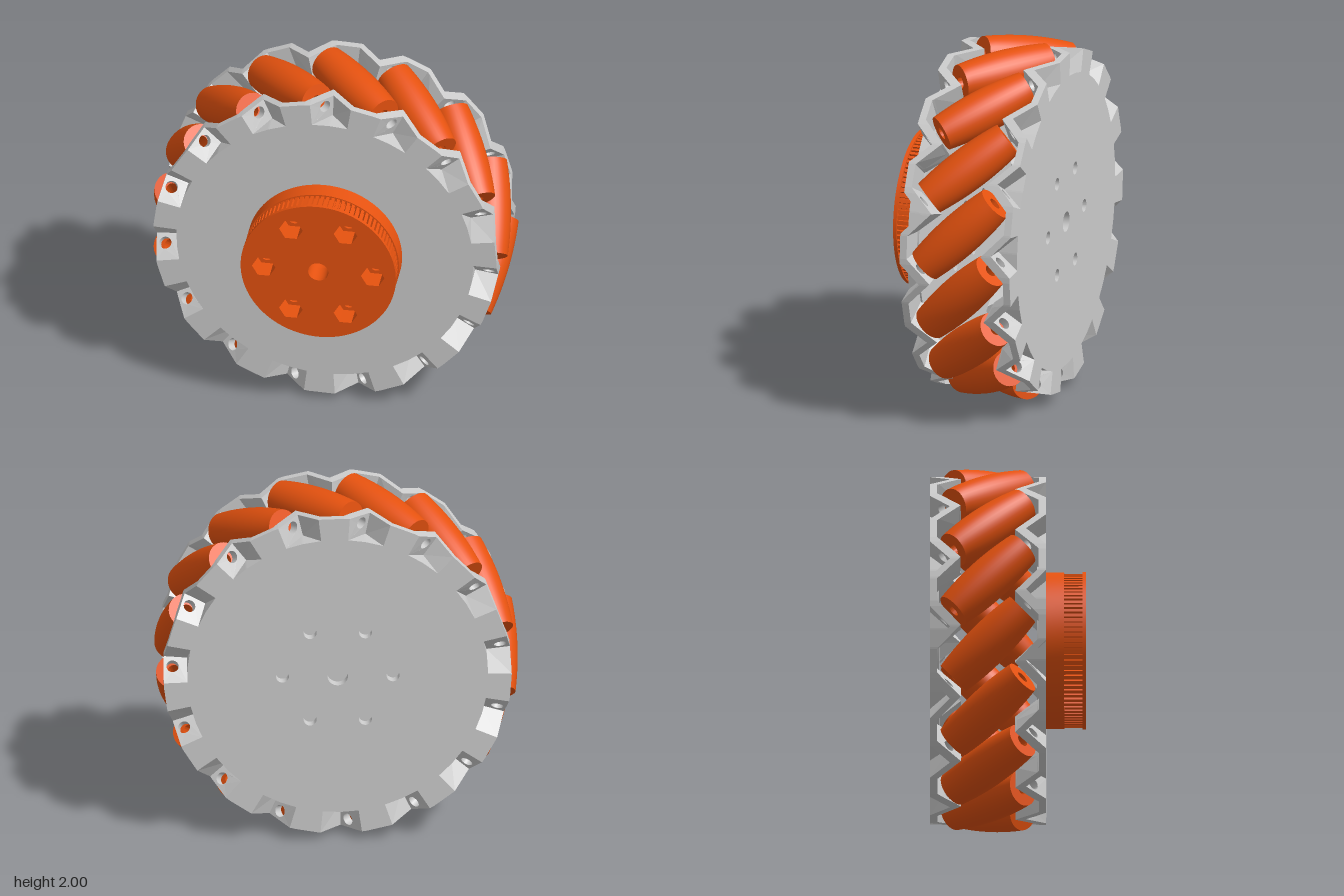
import * as THREE from 'three';
import { mergeGeometries, toCreasedNormals } from 'three/addons/utils/BufferGeometryUtils.js';

const COUNT = 15;             // rollers
const STEP = (Math.PI * 2) / COUNT;
const RIM_R = 0.92;           // radius at which rim arc lengths are measured
const MID_Z = -0.11;          // middle plane of the wheel

const grey = new THREE.MeshStandardMaterial({ color: 0xcccccc });
const orange = new THREE.MeshStandardMaterial({ color: 0xe6520f });

function part(name, geometry, material) {
  const mesh = new THREE.Mesh(geometry, material);
  mesh.name = name;
  return mesh;
}

// Piecewise linear zigzag through [t, z] points
function zigzag(points) {
  return (t) => {
    if (t <= points[0][0]) return points[0][1];
    for (let i = 1; i < points.length; i++) {
      const [t0, z0] = points[i - 1], [t1, z1] = points[i];
      if (t <= t1) return z0 + ((z1 - z0) * (t - t0)) / (t1 - t0);
    }
    return points[points.length - 1][1];
  };
}

const FACE = 0.32;            // outer face, measured from the middle plane
const outerZ = zigzag([[-0.09, FACE], [0.02, 0.21], [0.13, FACE]]);
const innerZ = zigzag([[-0.12, 0.28], [0.01, 0.15], [0.14, 0.28]]);

// One block of the rim: a flat strip bent round the wheel, its two faces following the zigzags
function rimBlock(a, b, r0, r1, top, withHole) {
  const shape = new THREE.Shape([[a, r0], [b, r0], [b, r1], [a, r1]].map((p) => new THREE.Vector2(...p)));
  if (withHole) shape.holes.push(new THREE.Path().absellipse(-0.02, 0.91, 0.024, 0.034, 0, Math.PI * 2, true));
  const geo = new THREE.ExtrudeGeometry(shape, { depth: 1, bevelEnabled: false, curveSegments: 20 });
  const pos = geo.attributes.position;
  for (let i = 0; i < pos.count; i++) {
    let t = pos.getX(i);
    const r = pos.getY(i), outer = pos.getZ(i) > 0.5;
    const onHole = withHole && r > r0 + 0.005 && r < r1 - 0.005;
    if (onHole && !outer) t -= 0.035;       // screw hole runs along the roller axis
    const angle = t / RIM_R;
    pos.setXYZ(i, r * Math.sin(angle), r * Math.cos(angle), outer ? top(t) : innerZ(t));
  }
  geo.computeVertexNormals();
  return geo;
}

function rimGeometry() {
  const stops = [-0.12, -0.09, 0.01, 0.02, 0.13, 0.14, -0.12 + STEP * RIM_R];
  const blocks = [];
  for (let i = 0; i < stops.length - 1; i++) {
    const [a, b] = [stops[i], stops[i + 1]];
    blocks.push(rimBlock(a, b, 0.83, 0.96, outerZ, i === 1));
    blocks.push(rimBlock(a, b, 0.775, 0.83, () => FACE, false));
  }
  const sector = mergeGeometries(blocks);
  const all = [];
  for (let k = 0; k < COUNT; k++) all.push(sector.clone().rotateZ(k * STEP));
  return mergeGeometries(all);
}

// Barrel roller whose outline lies on the wheel's outer cylinder
function rollerGeometry() {
  const axisR = 0.88, half = 0.27, bore = 0.035;
  const pts = [new THREE.Vector2(bore, -half)];
  for (let i = 0; i <= 16; i++) {
    const s = -half + (2 * half * i) / 16;
    pts.push(new THREE.Vector2(1 - Math.sqrt(axisR * axisR + (s * s) / 2), s));
  }
  pts.push(new THREE.Vector2(bore, half), new THREE.Vector2(bore, -half));
  const geo = toCreasedNormals(new THREE.LatheGeometry(pts, 36), 0.6);
  return geo.rotateX(Math.PI / 2).rotateY(Math.PI / 4).translate(0, axisR, 0);
}

// Flat disc with a bore and six bolt holes; sides = 6 makes hexagonal nut pockets
function disc(outline, boltR, sides, z0, z1) {
  const ring = (x, y, r, n) => {
    const p = [];
    for (let i = 0; i < n; i++) {
      const a = (-i / n) * Math.PI * 2;
      p.push(new THREE.Vector2(x + r * Math.cos(a), y + r * Math.sin(a)));
    }
    return new THREE.Path(p);
  };
  const shape = new THREE.Shape(outline);
  shape.holes.push(ring(0, 0, 0.057, 32));
  for (let k = 0; k < 6; k++) {
    const a = (k * Math.PI) / 3;
    shape.holes.push(ring(0.305 * Math.cos(a), 0.305 * Math.sin(a), boltR, sides));
  }
  const geo = new THREE.ExtrudeGeometry(shape, { depth: z1 - z0, bevelEnabled: false });
  return toCreasedNormals(geo.translate(0, 0, z0), 0.4);
}

function circle(r, n = 96) {
  return Array.from({ length: n }, (_, i) => {
    const a = (i / n) * Math.PI * 2;
    return new THREE.Vector2(r * Math.cos(a), r * Math.sin(a));
  });
}

// Outline of the toothed belt pulley
function toothed(teeth, high, low) {
  const pts = [];
  for (let i = 0; i < teeth; i++) {
    [[0, high], [0.6, high], [0.65, low], [0.95, low]].forEach(([f, r]) => {
      const a = ((i + f) / teeth) * Math.PI * 2;
      pts.push(new THREE.Vector2(r * Math.cos(a), r * Math.sin(a)));
    });
  }
  return pts;
}

export function createModel() {
  const model = new THREE.Group();
  model.name = 'rollerWheel';
  const wheel = new THREE.Group();
  wheel.name = 'wheel';
  wheel.position.set(0, 1, MID_Z);
  model.add(wheel);

  // Rollers and zigzag rims, turned so a roller sits just right of the top
  const turning = new THREE.Group();
  turning.name = 'rollersAndRims';
  turning.rotation.z = THREE.MathUtils.degToRad(-7.5);
  wheel.add(turning);

  const rollerGeo = rollerGeometry();
  for (let k = 0; k < COUNT; k++) {
    const roller = part('roller', rollerGeo, orange);
    roller.rotation.z = k * STEP;
    turning.add(roller);
  }

  const rimGeo = rimGeometry().rotateZ(THREE.MathUtils.degToRad(6.9));
  const frontRim = part('frontRim', rimGeo, grey);
  const backRim = part('backRim', rimGeo, grey);
  backRim.rotation.y = Math.PI;
  turning.add(frontRim, backRim);

  // Side plates
  const plateGeo = disc(circle(0.78), 0.036, 24, 0.27, FACE);
  const frontPlate = part('frontPlate', plateGeo, grey);
  const backPlate = part('backPlate', plateGeo, grey);
  backPlate.rotation.y = Math.PI;
  wheel.add(frontPlate, backPlate);

  // Drive hub: base, toothed pulley and thin flange
  const hub = new THREE.Group();
  hub.name = 'hub';
  hub.position.y = 1;
  hub.add(
    part('hubBase', disc(circle(0.432), 0.038, 24, 0.21, 0.31), orange),
    part('hubPulley', disc(toothed(90, 0.425, 0.408), 0.066, 6, 0.31, 0.41), orange),
    part('hubFlange', disc(circle(0.434), 0.066, 6, 0.41, 0.43), orange),
  );
  model.add(hub);
  return model;
}
